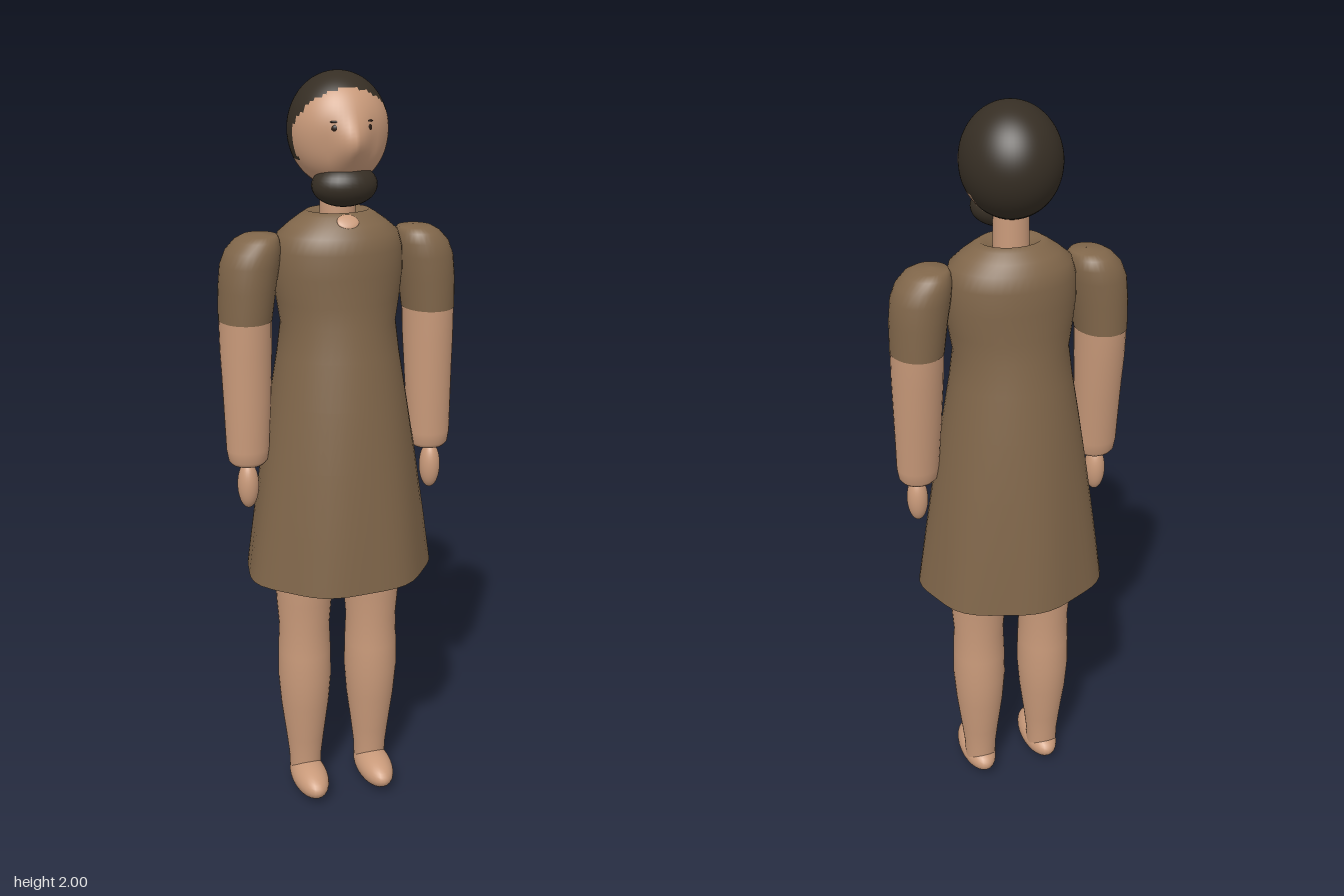
import * as THREE from 'three';

const mat = (name, color, side = THREE.FrontSide) => {
  const m = new THREE.MeshStandardMaterial({ color, side });
  m.name = name;
  return m;
};

// Smooth skin over elliptical rings [y, cx, cz, rx, rz], listed from bottom to top.
function loft(rings, segs, move) {
  const pos = [], index = [];
  rings.forEach(([y, cx, cz, rx, rz], i) => {
    for (let j = 0; j < segs; j++) {
      const a = (j / segs) * Math.PI * 2;
      const v = new THREE.Vector3(cx + Math.cos(a) * rx, y, cz + Math.sin(a) * rz);
      if (move) move(v, a);
      pos.push(v.x, v.y, v.z);
      if (i === rings.length - 1) continue;
      const p = i * segs + j, q = i * segs + ((j + 1) % segs);
      index.push(p, p + segs, q, q, p + segs, q + segs);
    }
  });
  const g = new THREE.BufferGeometry();
  g.setAttribute('position', new THREE.Float32BufferAttribute(pos, 3));
  g.setIndex(index);
  g.computeVertexNormals();
  return g;
}

export function createModel() {
  const root = new THREE.Group();
  root.name = 'figure';
  const skin = mat('skin', 0xc99a7a);
  const cloth = mat('brown cloth', 0x80664a, THREE.DoubleSide);
  const hair = mat('dark hair', 0x362e24);
  const eyeDark = mat('eye', 0x2a1c14);

  const add = (name, geometry, material, parent = root) => {
    const m = new THREE.Mesh(geometry, material);
    m.name = name;
    parent.add(m);
    return m;
  };
  const ellipsoid = (name, material, [x, y, z], [rx, ry, rz], parent) => {
    const m = add(name, new THREE.SphereGeometry(1, 28, 20), material, parent);
    m.position.set(x, y, z);
    m.scale.set(rx, ry, rz);
    return m;
  };

  // Dress with a gently uneven hem
  const dressRings = [
    [0.69, 0, 0, 0.253, 0.218], [0.85, 0, 0, 0.231, 0.205], [1.02, 0, 0, 0.206, 0.188],
    [1.18, 0, 0, 0.18, 0.168], [1.3, 0, 0, 0.16, 0.147], [1.38, 0, 0, 0.15, 0.135],
    [1.44, 0, 0, 0.16, 0.13], [1.51, 0, 0, 0.168, 0.13], [1.57, 0, 0, 0.166, 0.129],
    [1.61, 0, 0, 0.155, 0.12], [1.635, 0, 0, 0.125, 0.1], [1.655, 0, 0, 0.097, 0.077],
    [1.665, 0, 0, 0.08, 0.064], [1.655, 0, 0, 0.062, 0.055], [1.645, 0, 0, 0.04, 0.04],
  ];
  add('dress', loft(dressRings, 48, (v, a) => {
    const k = 1 + 0.022 * Math.sin(7 * a + 0.6) * Math.max(0, (1.2 - v.y) / 0.51);
    v.x *= k;
    v.z *= k;
  }), cloth);
  const notch = ellipsoid('neckOpening', skin, [0, 1.647, 0.085], [0.028, 0.022, 0.006]);
  notch.rotation.x = -0.8;

  // Neck
  add('neck', new THREE.CylinderGeometry(0.044, 0.046, 0.16, 28), skin).position.set(0, 1.69, -0.003);

  // Head: egg with a pointed nose, split into face and hair
  const headRings = [];
  for (let i = 0; i <= 44; i++) {
    const t = -Math.PI / 2 + (i / 44) * Math.PI, c = Math.max(Math.cos(t), 0.001);
    headRings.push([1.86 + 0.14 * Math.sin(t), 0, 0, 0.125 * c, 0.14 * c]);
  }
  const head = loft(headRings, 64, (v) => {
    if (v.z <= 0) return;
    v.z *= 0.91;
    const fall = Math.exp(-(((v.y - 1.835) / 0.05) ** 2));
    v.z += fall * (0.034 * Math.max(0, 1 - Math.abs(v.x) / 0.055) - 0.006) * (v.z / 0.127);
  });
  const hairline = (y) => (y > 1.88 ? 0.03 + (y - 1.88) * 0.65 : y > 1.79 ? 0.027 : -0.02);
  const p = head.attributes.position, src = head.index.array, parts = [[], []];
  for (let f = 0; f < src.length; f += 6) {
    const quad = Array.from(src.slice(f, f + 6));
    const y = (p.getY(quad[0]) + p.getY(quad[5])) / 2, z = (p.getZ(quad[0]) + p.getZ(quad[5])) / 2;
    parts[z > hairline(y) && y < 1.964 ? 0 : 1].push(...quad);
  }
  head.setIndex([...parts[0], ...parts[1]]);
  head.addGroup(0, parts[0].length, 0);
  head.addGroup(parts[0].length, parts[1].length, 1);
  add('head', head, [skin, hair]);
  ellipsoid('beard', hair, [0, 1.733, 0.056], [0.083, 0.053, 0.066]);

  for (const s of [1, -1]) {
    const side = s > 0 ? 'left' : 'right';

    // Eye and brow
    ellipsoid(side + 'Eye', eyeDark, [s * 0.042, 1.876, 0.116], [0.009, 0.009, 0.005]).rotation.y = s * 0.35;
    ellipsoid(side + 'Brow', eyeDark, [s * 0.042, 1.891, 0.114], [0.012, 0.003, 0.004]).rotation.y = s * 0.35;

    // Arm: sleeve, bare forearm, hand
    const arm = new THREE.Group();
    arm.name = side + 'Arm';
    root.add(arm);
    const ring = ([y, cx, cz, rx, rz]) => [y, s * cx, cz, rx, rz];
    add(side + 'Sleeve', loft([
      [1.4, 0.245, 0.002, 0.068, 0.08], [1.48, 0.239, 0.003, 0.073, 0.081], [1.54, 0.231, 0.003, 0.075, 0.081],
      [1.575, 0.222, 0.003, 0.07, 0.077], [1.6, 0.212, 0.003, 0.057, 0.066],
      [1.612, 0.204, 0.003, 0.044, 0.046], [1.616, 0.2, 0.003, 0.001, 0.001],
    ].map(ring), 32), cloth, arm);
    add(side + 'Forearm', loft([
      [1.018, 0.25, 0.02, 0.001, 0.001], [1.019, 0.25, 0.02, 0.042, 0.038], [1.03, 0.25, 0.02, 0.051, 0.047],
      [1.06, 0.25, 0.019, 0.056, 0.051], [1.2, 0.247, 0.012, 0.062, 0.061],
      [1.32, 0.246, 0.005, 0.066, 0.073], [1.41, 0.245, 0.002, 0.067, 0.079],
    ].map(ring), 32), skin, arm);
    ellipsoid(side + 'Hand', skin, [s * 0.253, 0.96, 0.025], [0.028, 0.064, 0.031], arm);

    // Leg and foot
    const leg = new THREE.Group();
    leg.name = side + 'Leg';
    root.add(leg);
    add(side + 'Shin', loft([
      [0.04, 0.097, -0.003, 0.044, 0.044], [0.1, 0.097, -0.003, 0.046, 0.047], [0.16, 0.097, -0.003, 0.053, 0.054],
      [0.27, 0.097, -0.003, 0.067, 0.07], [0.36, 0.097, -0.002, 0.074, 0.078], [0.44, 0.097, -0.002, 0.073, 0.076],
      [0.52, 0.097, -0.002, 0.07, 0.073], [0.6, 0.097, -0.002, 0.076, 0.081], [0.7, 0.096, -0.002, 0.08, 0.087],
      [0.9, 0.092, 0, 0.085, 0.09], [0.97, 0.09, 0, 0.001, 0.001],
    ].map(ring), 32), skin, leg);
    ellipsoid(side + 'Foot', skin, [s * 0.097, 0.045, 0.036], [0.05, 0.045, 0.107], leg);
  }
  return root;
}
